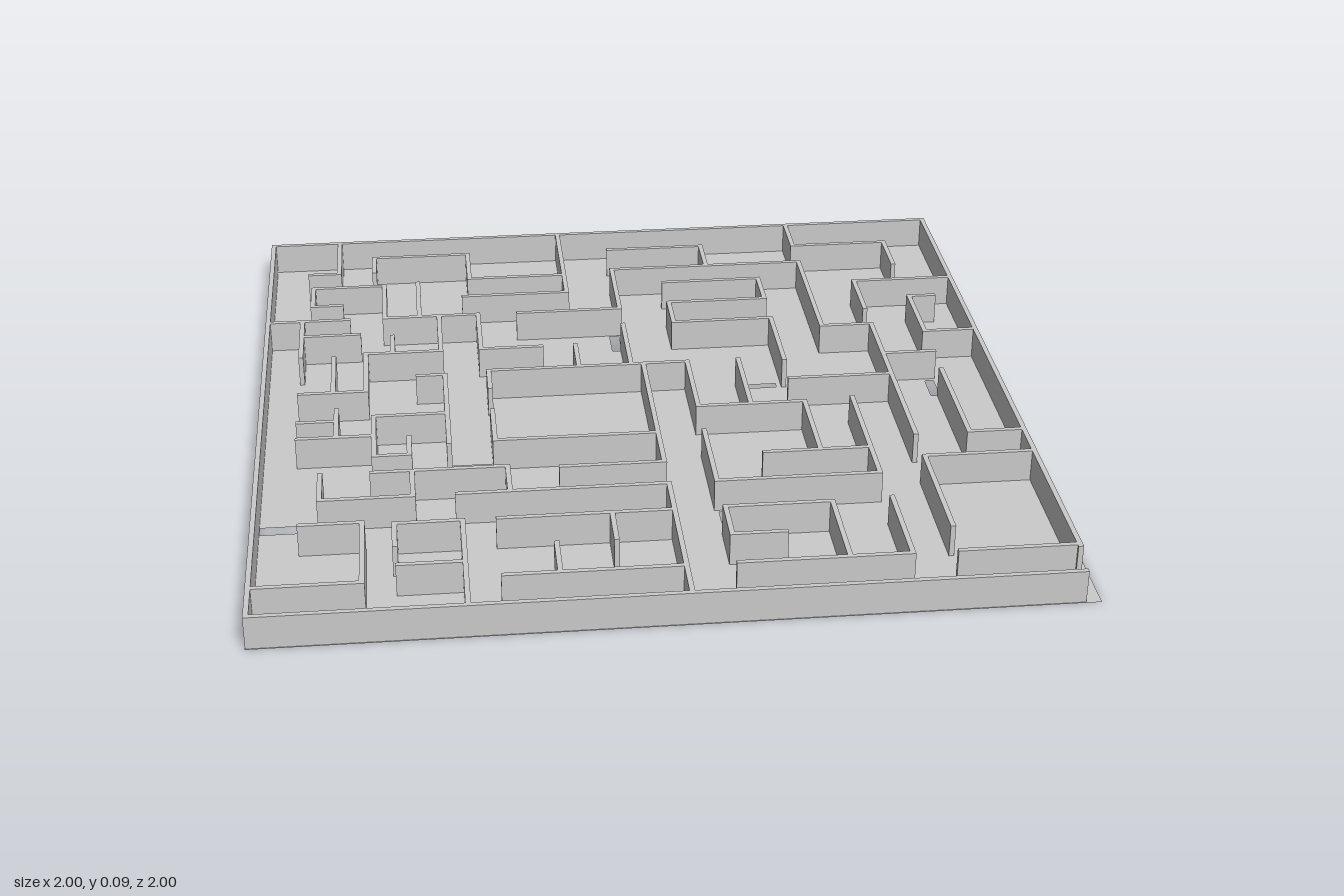
import * as THREE from 'three';

const HEIGHT = 0.085;
const THICK = 0.013;

// Paths alternate direction: [firstAxis, x, z, next, next, ...],
// each further number is the new x or the new z in turn.
const outerWalls = [
  ['x', -0.993, -0.993, 0.973, 0.88],
  ['z', -0.993, -0.993, 0.99, 0.957],
];
const backLeftWalls = [
  ['z', -0.797, -0.99, -0.783, -0.88],
  ['z', -0.695, -0.783, -0.88, -0.42, -0.714, -0.145],
  ['z', -0.145, -0.99, -0.6, -0.44],
  ['x', -0.79, -0.575, -0.87, -0.69, -0.667, -0.483, -0.405, -0.27, -0.24],
  ['z', -0.57, -0.7, -0.483],
  ['z', -0.515, -0.483, -0.27, -0.72, -0.056, -0.895],
  ['z', -0.647, -0.37, -0.27],
  ['z', -0.807, -0.255, -0.056],
  ['x', -0.99, -0.483, -0.77],
  ['z', -0.897, -0.483, -0.27],
  ['x', -0.897, -0.39, -0.74],
  ['x', -0.29, -0.48, -0.003],
  ['z', -0.145, -0.27, -0.142],
];
const backRightWalls = [
  ['z', -0.003, -0.48, -0.735, 0.55, -0.317, 0.69, 0.31],
  ['z', -0.003, -0.38, -0.142],
  ['x', 0, -0.87, 0.275, -0.735],
  ['z', 0.55, -0.99, -0.845, 0.825, -0.695],
  ['x', 0.14, -0.635, 0.415, -0.505, 0.14, -0.38, 0.415, -0.13],
  ['z', 0.69, -0.415, -0.59, 0.97],
  ['x', 0.9, -0.477, 0.83, -0.257, 0.97],
  ['x', 0.69, -0.137, 0.83],
  ['z', 0.83, -0.03, 0.313, 0.97],
  ['x', 0.415, -0.02, 0.69],
];
const middleWalls = [
  ['z', -0.39, -0.045, -0.142, 0.15, 0.11, 0.433, 0.366],
  ['x', 0.29, 0.366, 0.562],
  ['z', 0.562, 0.1, 0.495, 0.15, 0.24],
  ['z', 0.29, -0.142, 0.11],
  ['z', 0.03, -0.142, 0.388, -0.23],
  ['z', -0.39, 0.08, 0.238, 0.03],
  ['x', -0.58, -0.13, -0.508, 0.24],
  ['x', -0.508, 0.083, -0.7, 0.29, -0.61, 0.2],
  ['x', -0.895, 0.185, -0.7],
  ['z', -0.797, 0.04, 0.185],
  ['x', -0.895, 0.1, -0.797],
];
const frontWalls = [
  ['z', -0.835, 0.37, 0.495, -0.605, 0.372],
  ['x', -0.705, 0.372, -0.365, 0.495],
  ['x', -0.495, 0.495, 0.03, 0.985],
  ['x', -0.88, 0.607, -0.73, 0.873, -0.99],
  ['z', -0.652, 0.72, 0.62, -0.487, 0.985],
  ['x', -0.645, 0.805, -0.487],
  ['x', -0.4, 0.62, 0.03],
  ['z', -0.123, 0.62, 0.74],
  ['z', -0.267, 0.745, 0.873],
  ['x', -0.4, 0.873, 0.03],
  ['x', 0.285, 0.747, 0.155, 0.62, 0.42, 0.873],
  ['x', 0.155, 0.873, 0.57, 0.615],
  ['z', 0.69, 0.76, 0.425, 0.97],
  ['x', 0.685, 0.873, 0.97],
];

// Floor openings: x0, z0, x1, z1
const openings = [
  [-0.79, -0.797, -0.705, -0.777],
  [-0.033, -0.47, -0.007, -0.38],
  [0.3, -0.145, 0.395, -0.125],
  [0.807, -0.12, 0.831, -0.035],
  [-0.5, 0.217, -0.4, 0.243],
  [-0.985, 0.475, -0.85, 0.508],
  [0.155, 0.51, 0.185, 0.605],
  [0.51, 0.885, 0.54, 0.975],
];

function rectangle(path, x0, z0, x1, z1) {
  path.moveTo(x0, -z0);
  path.lineTo(x1, -z0);
  path.lineTo(x1, -z1);
  path.lineTo(x0, -z1);
  path.closePath();
  return path;
}

// One box per straight run, overlapping at the corners
function buildWalls(name, paths, material) {
  const group = new THREE.Group();
  group.name = name;
  for (const [firstAxis, startX, startZ, ...stops] of paths) {
    let x = startX, z = startZ, alongX = firstAxis === 'x';
    for (const stop of stops) {
      const nx = alongX ? stop : x;
      const nz = alongX ? z : stop;
      const wall = new THREE.Mesh(
        new THREE.BoxGeometry(Math.abs(nx - x) + THICK, HEIGHT, Math.abs(nz - z) + THICK),
        material,
      );
      wall.position.set((x + nx) / 2, HEIGHT / 2, (z + nz) / 2);
      wall.name = 'wall';
      group.add(wall);
      x = nx;
      z = nz;
      alongX = !alongX;
    }
  }
  return group;
}

export function createModel() {
  const model = new THREE.Group();
  model.name = 'maze';
  const material = new THREE.MeshStandardMaterial({ color: 0xcccccc });

  // Thin floor sheet pierced by the openings
  const sheet = rectangle(new THREE.Shape(), -1, -1, 1, 1);
  for (const hole of openings) sheet.holes.push(rectangle(new THREE.Path(), ...hole));
  const floor = new THREE.Mesh(
    new THREE.ShapeGeometry(sheet).rotateX(-Math.PI / 2),
    new THREE.MeshStandardMaterial({ color: 0xcccccc, side: THREE.DoubleSide }),
  );
  floor.name = 'floor';
  model.add(floor);

  model.add(
    buildWalls('outerWalls', outerWalls, material),
    buildWalls('backLeftWalls', backLeftWalls, material),
    buildWalls('backRightWalls', backRightWalls, material),
    buildWalls('middleWalls', middleWalls, material),
    buildWalls('frontWalls', frontWalls, material),
  );
  return model;
}
